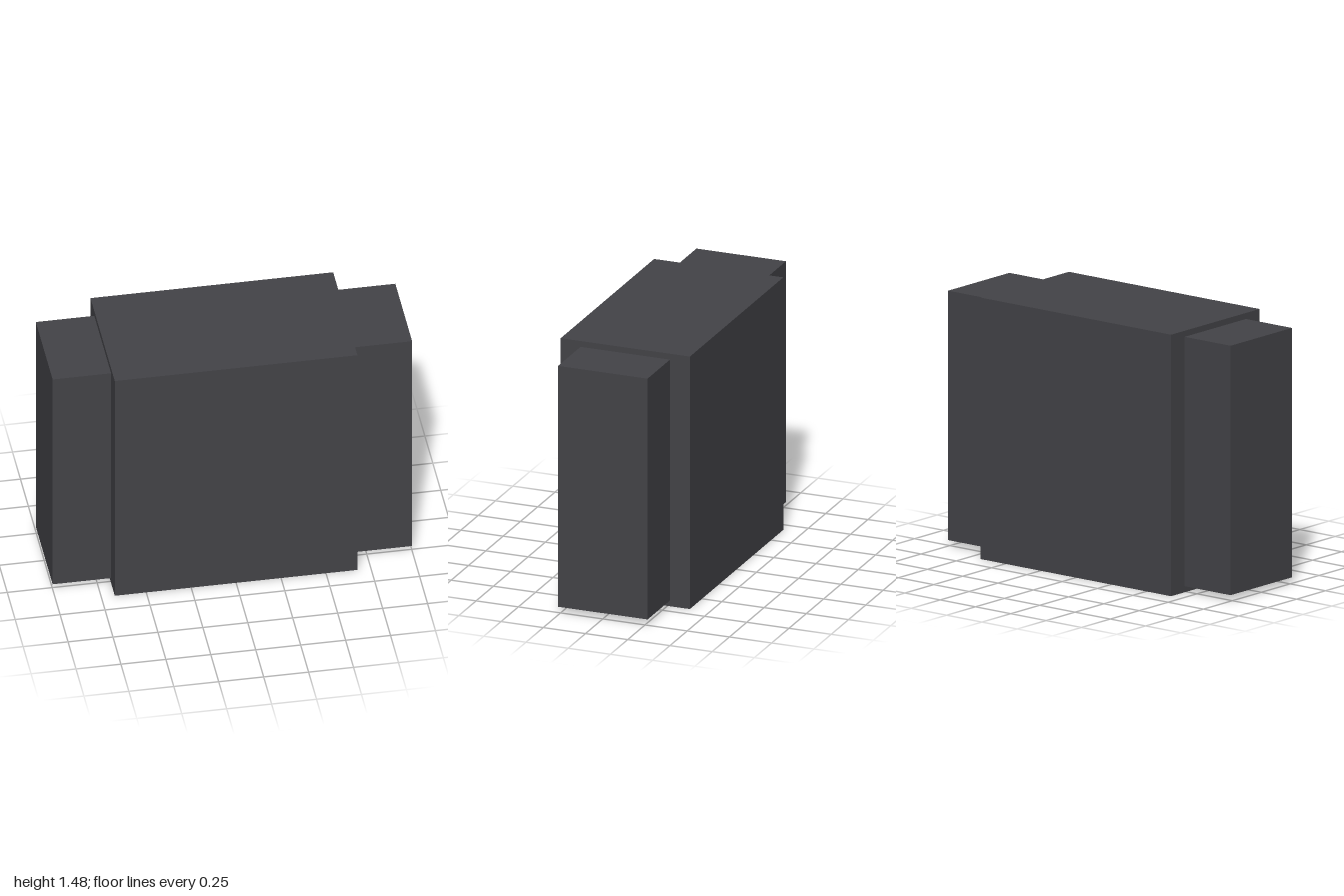
import * as THREE from 'three';

export function createModel() {
  const group = new THREE.Group();
  const darkGrey = new THREE.MeshStandardMaterial({ color: 0x434347 });
  darkGrey.name = 'darkGrey';

  const height = 1.475;
  const bodyHalf = 0.675;

  function addBlock(name, width, blockHeight, depth, x) {
    const mesh = new THREE.Mesh(new THREE.BoxGeometry(width, blockHeight, depth), darkGrey);
    mesh.name = name;
    mesh.position.set(x, height / 2, 0);
    group.add(mesh);
  }

  // Large central block
  addBlock('body', bodyHalf * 2, height, 0.765, 0);

  // Slimmer end blocks, mirrored left and right
  const endWidth = 1 - bodyHalf;
  for (const [name, side] of [['leftEnd', 1], ['rightEnd', -1]]) {
    addBlock(name, endWidth, 1.407, 0.53, side * (bodyHalf + endWidth / 2));
  }

  return group;
}
